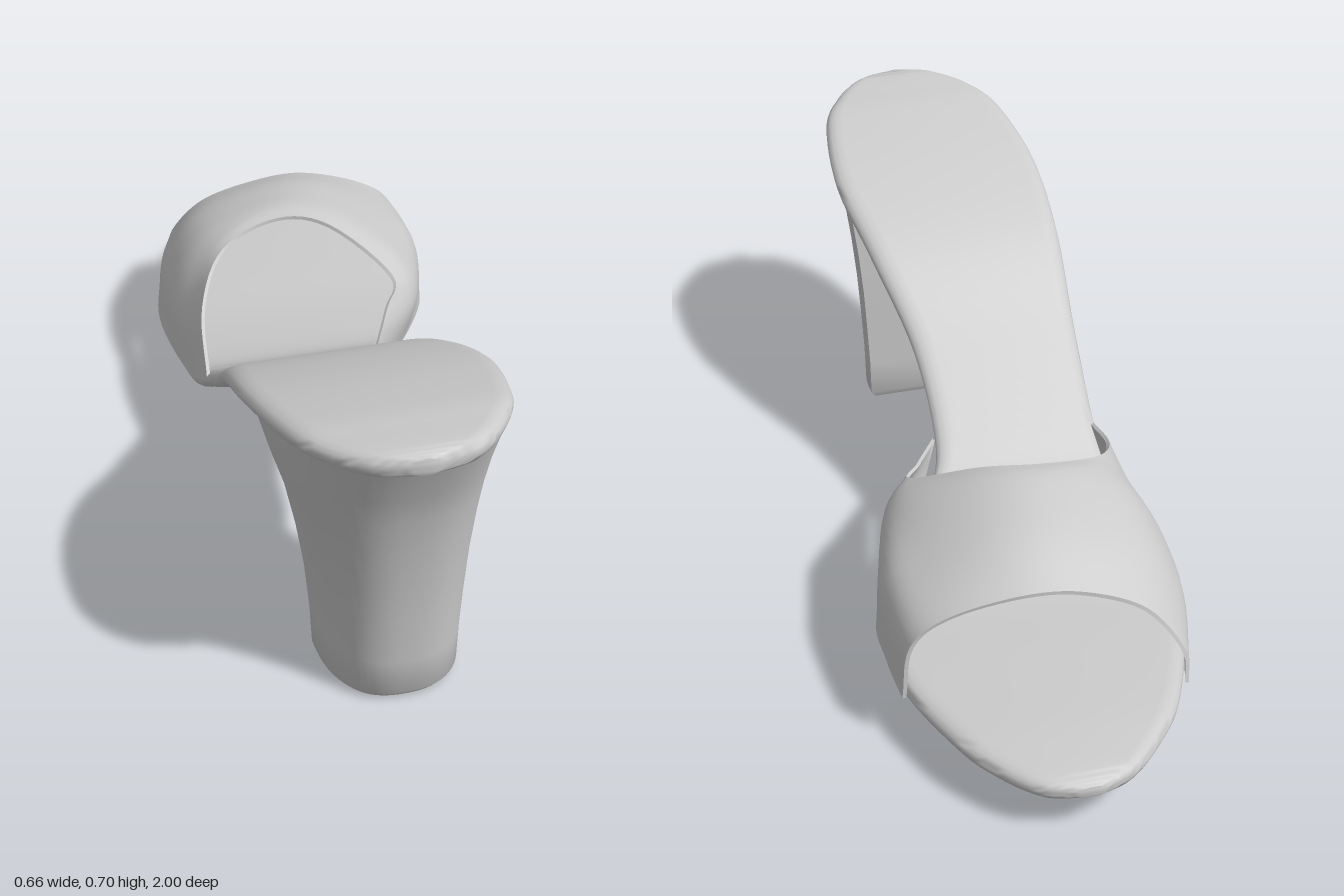
import * as THREE from 'three';
import { toCreasedNormals } from 'three/addons/utils/BufferGeometryUtils.js';

const V = (x, y, z) => new THREE.Vector3(x, y, z);
const spline = (pts) => new THREE.CatmullRomCurve3(pts, false, 'catmullrom', 0.5);

// Skin a list of closed loops (counterclockwise about the direction of travel), capping both ends
function loft(name, loops, crease) {
  const n = loops[0].length, last = loops.length - 1, index = [];
  const at = (j, i) => j * n + (i % n);
  for (let j = 0; j < last; j++) {
    for (let i = 0; i < n; i++) {
      const a = at(j, i), b = at(j, i + 1), c = at(j + 1, i), d = at(j + 1, i + 1);
      index.push(a, b, c, b, d, c);
    }
  }
  for (let i = 0; i < n / 2 - 1; i++) {
    const quad = [i, i + 1, n - 2 - i, n - 1 - i];
    const [a, b, c, d] = quad.map((k) => at(last, k));
    const [e, f, g, h] = quad.map((k) => at(0, k));
    index.push(a, b, c, a, c, d, e, g, f, e, h, g);
  }
  const geo = new THREE.BufferGeometry().setFromPoints(loops.flat());
  geo.setIndex(index);
  const mesh = new THREE.Mesh(
    toCreasedNormals(geo, crease),
    new THREE.MeshStandardMaterial({ color: 0xcccccc, side: THREE.DoubleSide })
  );
  mesh.name = name;
  return mesh;
}

// Sole stations from toe to heel: z, left edge, right edge, top height, thickness
const SOLE = [
  [-1, 0.04, 0.09, 0.111, 0.022], [-0.97, -0.03, 0.16, 0.118, 0.036], [-0.9, -0.105, 0.22, 0.122, 0.041],
  [-0.8, -0.18, 0.27, 0.124, 0.043], [-0.6, -0.265, 0.32, 0.122, 0.04], [-0.4, -0.295, 0.305, 0.122, 0.036],
  [-0.2, -0.285, 0.2, 0.146, 0.039], [-0.1, -0.284, 0.13, 0.19, 0.043], [0, -0.283, 0.077, 0.255, 0.045],
  [0.2, -0.302, 0.07, 0.39, 0.047], [0.4, -0.326, 0.112, 0.528, 0.047], [0.6, -0.335, 0.14, 0.614, 0.042],
  [0.8, -0.31, 0.115, 0.67, 0.043], [0.9, -0.27, 0.068, 0.687, 0.045], [0.97, -0.205, 0.005, 0.696, 0.045],
  [1, -0.13, -0.08, 0.694, 0.034],
];
const widths = spline(SOLE.map(([z, l, r]) => V(l, r, z)));
const heights = spline(SOLE.map(([z, , , top, th]) => V(top, th, z)));

function soleUnderside(z) {
  let lo = 0, hi = 1;
  for (let k = 0; k < 24; k++) {
    const mid = (lo + hi) / 2;
    if (heights.getPoint(mid).z < z) lo = mid; else hi = mid;
  }
  const p = heights.getPoint(lo);
  return p.x - p.y;
}

// Long flat sole whose rim rolls over softly on top and tightly below
function makeSole() {
  const loops = [], rows = 90, arc = 8;
  for (let j = 0; j <= rows; j++) {
    const w = widths.getPoint(j / rows), h = heights.getPoint(j / rows);
    const ry = h.y / 2, half = (w.y - w.x) / 2, loop = [];
    for (const [edge, side] of [[w.y, 1], [w.x, -1]]) {
      for (let i = 0; i <= arc; i++) {
        const a = side * (i / arc - 0.5) * Math.PI;
        const rx = Math.min(a > 0 ? 1.8 * ry : ry, half);
        loop.push(V(edge - side * rx * (1 - Math.cos(a)), h.x - ry + ry * Math.sin(a), w.z));
      }
    }
    loops.push(loop);
  }
  return loft('sole', loops, 1.1);
}

// Flared block heel: flat toward the toe, rounded at the back
function makeHeel() {
  // y (null = meets the sole), left, right, back z, front z
  const rings = [
    [0, -0.2, 0.052, 0.808, 0.638], [0.015, -0.213, 0.064, 0.82, 0.63], [0.1, -0.217, 0.066, 0.83, 0.627],
    [0.2, -0.226, 0.072, 0.84, 0.624], [0.3, -0.241, 0.079, 0.855, 0.62], [0.4, -0.262, 0.089, 0.875, 0.62],
    [0.48, -0.287, 0.1, 0.895, 0.62], [0.545, -0.305, 0.11, 0.918, 0.62], [null, -0.317, 0.122, 0.978, 0.62],
  ];
  const power = (v) => Math.sign(v) * Math.abs(v) ** 0.8, seg = 31;
  const loops = rings.map(([y, l, r, back, front]) => {
    const loop = [];
    for (let i = 0; i <= seg; i++) {
      const a = (i / seg - 0.5) * Math.PI;
      const z = front + (back - front) * power(Math.max(0, Math.cos(a)));
      loop.push(V((l + r) / 2 + ((r - l) / 2) * power(Math.sin(a)), y ?? soleUnderside(z) + 0.012, z));
    }
    return loop;
  });
  return loft('heel', loops, 0.8);
}

// Wide open-toed band, given as arches from the curved throat to the toe opening
function makeStrap() {
  const arches = [
    [[-0.283, 0.235, 0.01], [-0.252, 0.3, -0.18], [-0.175, 0.36, -0.315], [-0.04, 0.394, -0.36],
      [0.075, 0.382, -0.32], [0.188, 0.303, -0.2], [0.15, 0.275, -0.11], [0.074, 0.235, 0.04]],
    [[-0.288, 0.13, -0.2], [-0.272, 0.24, -0.27], [-0.185, 0.354, -0.355], [-0.035, 0.4, -0.4],
      [0.095, 0.385, -0.365], [0.222, 0.308, -0.27], [0.247, 0.23, -0.21], [0.2, 0.125, -0.18]],
    [[-0.302, 0.112, -0.42], [-0.276, 0.235, -0.42], [-0.19, 0.345, -0.44], [-0.03, 0.392, -0.46],
      [0.1, 0.378, -0.45], [0.235, 0.308, -0.42], [0.302, 0.24, -0.4], [0.31, 0.104, -0.38]],
    [[-0.278, 0.106, -0.58], [-0.26, 0.21, -0.58], [-0.18, 0.315, -0.57], [-0.03, 0.364, -0.57],
      [0.1, 0.362, -0.56], [0.24, 0.3, -0.54], [0.314, 0.235, -0.53], [0.327, 0.104, -0.52]],
    [[-0.214, 0.106, -0.76], [-0.21, 0.175, -0.745], [-0.14, 0.265, -0.712], [-0.02, 0.312, -0.69],
      [0.1, 0.322, -0.682], [0.24, 0.286, -0.662], [0.313, 0.225, -0.652], [0.328, 0.104, -0.648]],
  ].map((arch) => spline(arch.map((p) => V(...p))));
  const across = 42, along = 20, loops = [];
  for (let j = 0; j <= along; j++) {
    const outer = [], inner = [];
    for (let i = 0; i <= across; i++) {
      const p = spline(arches.map((c) => c.getPoint(i / across))).getPoint(j / along);
      const inward = V(0, 0.16, p.z).sub(p).setLength(0.008);
      outer.push(p);
      inner.unshift(p.clone().add(inward));
    }
    loops.push([...outer, ...inner]);
  }
  return loft('strap', loops, 0.9);
}

export function createModel() {
  const shoe = new THREE.Group();
  shoe.name = 'heeledMule';
  shoe.add(makeSole(), makeHeel(), makeStrap());
  return shoe;
}
